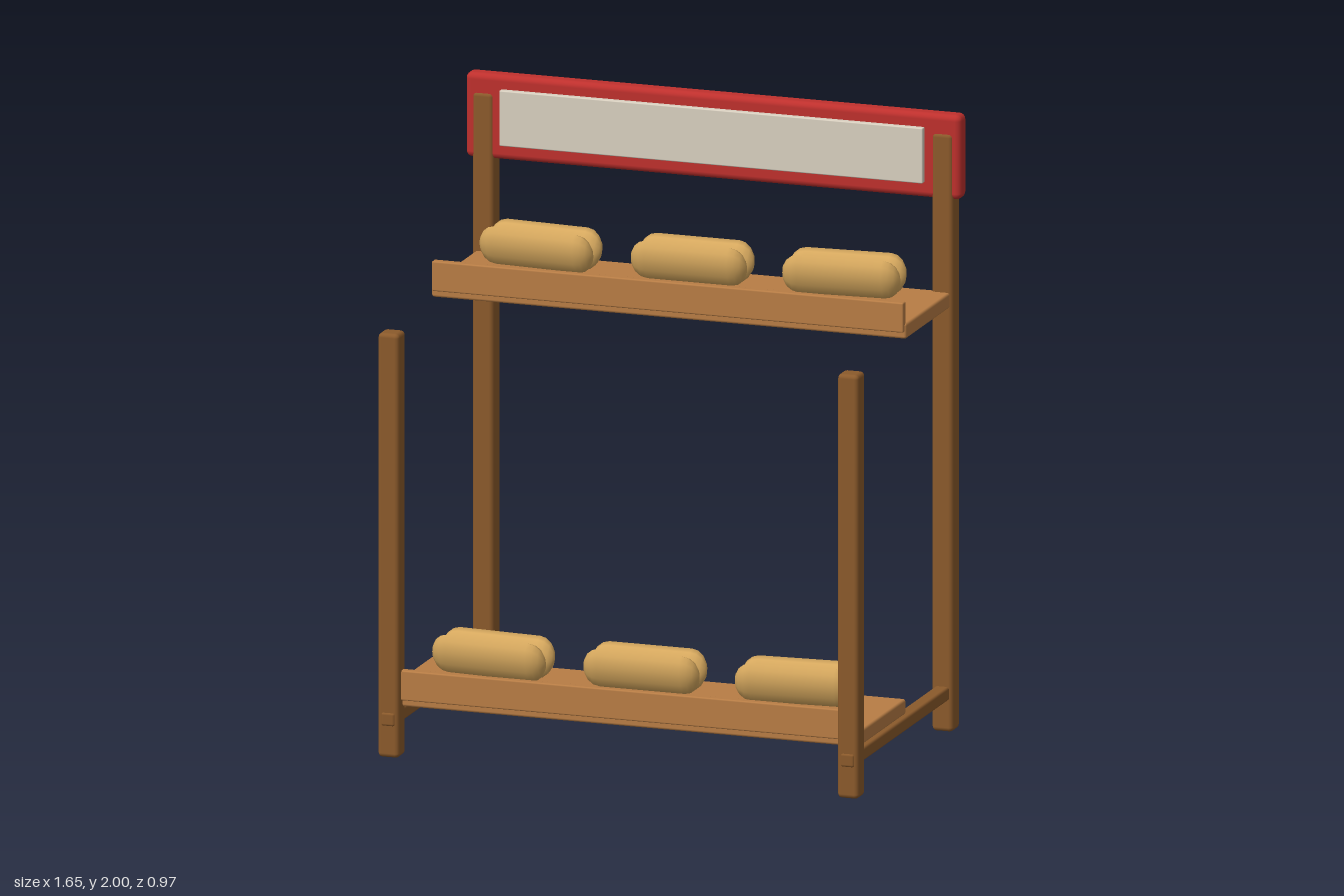
import * as THREE from 'three';
import { RoundedBoxGeometry } from 'three/addons/geometries/RoundedBoxGeometry.js';

function material(name, color, flatShading = false) {
  const m = new THREE.MeshStandardMaterial({ color, flatShading });
  m.name = name;
  return m;
}

export function createModel() {
  const model = new THREE.Group();
  model.name = 'breadStand';

  const darkWood = material('dark wood', 0x8b5a2b);
  const lightWood = material('light wood', 0xb87d45);
  const red = material('sign red', 0xbf302d);
  const cream = material('panel cream', 0xd9d0c0);
  const crust = material('bun crust', 0xd6a85e);

  // Box with softened edges, given by its min and max corners
  function box(name, mat, [x0, y0, z0], [x1, y1, z1], radius) {
    const geo = new RoundedBoxGeometry(x1 - x0, y1 - y0, z1 - z0, 2, radius);
    const mesh = new THREE.Mesh(geo, mat);
    mesh.position.set((x0 + x1) / 2, (y0 + y1) / 2, (z0 + z1) / 2);
    mesh.name = name;
    model.add(mesh);
  }

  // Posts and the low side rails that run through them
  for (const x of [-0.765, 0.765]) {
    box('frontPost', darkWood, [x - 0.035, 0, 0.41], [x + 0.035, 1.375, 0.48], 0.014);
    box('backPost', darkWood, [x - 0.035, 0, -0.48], [x + 0.035, 1.94, -0.408], 0.014);
    box('sideRail', darkWood, [x - 0.023, 0.103, -0.484], [x + 0.023, 0.147, 0.484], 0.008);
  }

  // Shelves, each with a raised lip along the front
  const shelves = [
    { y: 0.16, back: 0, front: 0.44 },
    { y: 1.375, back: -0.43, front: 0 },
  ];
  for (const { y, back, front } of shelves) {
    box('shelf', lightWood, [-0.79, y, back], [0.79, y + 0.05, front], 0.008);
    box('shelfLip', lightWood, [-0.785, y + 0.023, front - 0.014], [0.785, y + 0.12, front + 0.014], 0.005);
  }

  // Sign board with its blank panel
  box('signBoard', red, [-0.825, 1.725, -0.475], [0.825, 2, -0.413], 0.02);
  box('signPanel', cream, [-0.705, 1.775, -0.42], [0.705, 1.955, -0.394], 0.004);

  // Split bun: two leaning halves joined by a thin hinge at the bottom
  const halfGeo = new THREE.CapsuleGeometry(0.055, 0.275, 4, 10);
  halfGeo.rotateZ(Math.PI / 2);
  halfGeo.scale(1, 1.22, 0.66);
  const hingeGeo = new THREE.CapsuleGeometry(0.016, 0.27, 2, 8);
  hingeGeo.rotateZ(Math.PI / 2);

  function bun(x, y, z, turn) {
    const group = new THREE.Group();
    group.name = 'bun';
    for (const side of [-1, 1]) {
      const half = new THREE.Mesh(halfGeo, crust);
      half.name = 'bunHalf';
      half.position.set(0, 0.067, side * 0.036);
      half.rotation.x = side * 0.25;
      group.add(half);
    }
    const hinge = new THREE.Mesh(hingeGeo, crust);
    hinge.name = 'bunHinge';
    hinge.position.y = 0.025;
    group.add(hinge);
    group.position.set(x, y, z);
    group.rotation.y = turn;
    model.add(group);
  }

  for (const [y, z] of [[0.225, 0.22], [1.44, -0.225]]) {
    for (const i of [-1, 0, 1]) bun(i * 0.505, y, z, i * 0.07);
  }

  return model;
}
